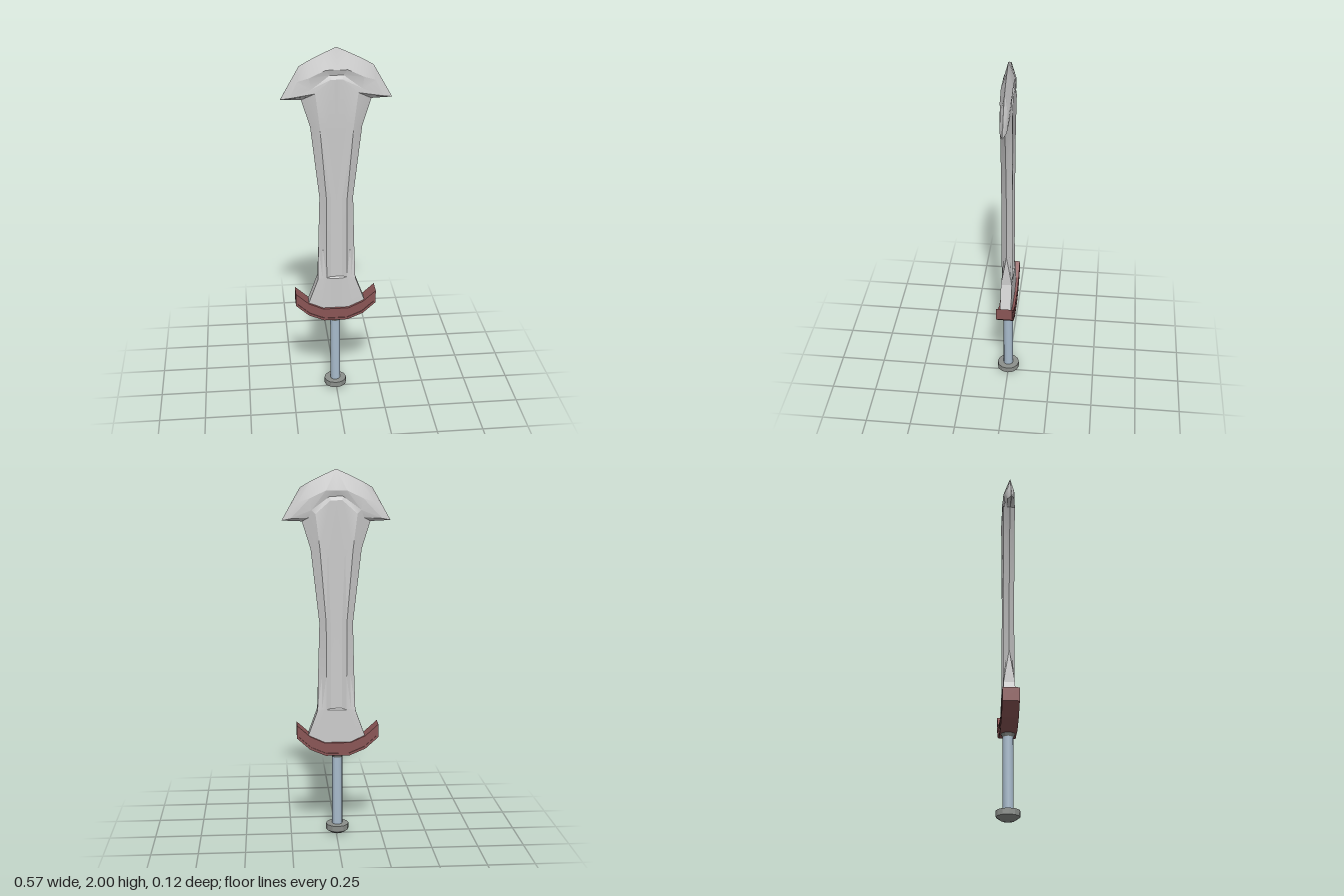
import * as THREE from 'three';
import { toCreasedNormals } from 'three/addons/utils/BufferGeometryUtils.js';

const CX = -0.006; // hilt axis

function mesh(name, geometry, color, crease = 0.3) {
  const m = new THREE.Mesh(
    toCreasedNormals(geometry, crease),
    new THREE.MeshStandardMaterial({ color })
  );
  m.name = name;
  return m;
}

// Rows of half-section points: centre, fuller, ridge, bevel, edge, as [x, y, z]
function level(y, fx, rx, ex, zc, zr, ze) {
  return [[0, y, zc], [fx, y, zc], [rx, y, zr], [(rx + ex) / 2, y, (zr + ze) / 2], [ex, y, ze]];
}
const bladeRows = [
  [[0, 0.5, 0.03], [0.03, 0.5, 0.03], [0.085, 0.51, 0.03], [0.13, 0.53, 0.03], [0.162, 0.55, 0.03]],
  level(0.715, 0.03, 0.055, 0.102, 0.03, 0.03, 0.03),
  level(0.722, 0.03, 0.055, 0.102, 0.018, 0.03, 0.029),
  level(0.9, 0.03, 0.055, 0.098, 0.018, 0.03, 0),
  level(1.19, 0.03, 0.055, 0.09, 0.018, 0.03, 0),
  level(1.585, 0.045, 0.087, 0.135, 0.027, 0.03, 0),
  // head: shoulder, scoop, crown and cutting rim
  [[0, 1.84, 0.03], [0.03, 1.84, 0.03], [0.11, 1.77, 0.032], [0.145, 1.75, 0.016], [0.18, 1.73, 0]],
  [[0, 1.86, 0.02], [0.035, 1.86, 0.02], [0.13, 1.79, 0.026], [0.24, 1.745, 0.018], [0.286, 1.735, 0.002]],
  [[0, 1.89, 0.029], [0.055, 1.89, 0.03], [0.14, 1.85, 0.027], [0.2, 1.83, 0.018], [0.244, 1.81, 0]],
  [[0, 2, 0], [0.065, 1.971, 0], [0.125, 1.942, 0], [0.16, 1.923, 0], [0.19, 1.905, 0]],
];

// Each half-section is mirrored into a closed ring; rings are skinned together
function bladeGeometry() {
  const rings = bladeRows.map((row) => {
    const left = row.slice(1).reverse().map(([x, y, z]) => [-x, y, z]);
    const front = [...left, ...row];
    const back = [...front].reverse().map(([x, y, z]) => [x, y, -z]);
    return [...front, ...back].map((p) => new THREE.Vector3(...p));
  });
  const pos = [];
  const tri = (a, b, c) => {
    if (new THREE.Triangle(a, b, c).getArea() < 1e-8) return;
    for (const p of [a, b, c]) pos.push(p.x, p.y, p.z);
  };
  for (let i = 0; i < rings.length - 1; i++) {
    const lo = rings[i], hi = rings[i + 1], n = lo.length;
    for (let j = 0; j < n; j++) {
      const k = (j + 1) % n;
      // diagonals mirror about x = 0
      if (lo[j].x + lo[k].x > 0) {
        tri(lo[j], lo[k], hi[k]);
        tri(lo[j], hi[k], hi[j]);
      } else {
        tri(lo[j], lo[k], hi[j]);
        tri(lo[k], hi[k], hi[j]);
      }
    }
  }
  const g = new THREE.BufferGeometry();
  g.setAttribute('position', new THREE.Float32BufferAttribute(pos, 3));
  return g;
}

// Closed outline from right-half points, mirrored
function mirrored(points) {
  const left = [...points].reverse().map(([x, y]) => [-x, y]);
  return [...points, ...left].map(([x, y]) => new THREE.Vector2(x, y));
}
function extrude(shape, halfDepth) {
  const g = new THREE.ExtrudeGeometry(shape, { depth: halfDepth * 2, bevelEnabled: false });
  return g.translate(CX, 0, -halfDepth);
}

function createGuard() {
  const outer = mirrored([[0.065, 0.462], [0.15, 0.498], [0.221, 0.562], [0.221, 0.635], [0.15, 0.571], [0.07, 0.534]]);
  const inner = mirrored([[0.062, 0.475], [0.144, 0.51], [0.209, 0.568], [0.209, 0.607], [0.154, 0.558], [0.072, 0.52]]);
  const frame = new THREE.Shape(outer);
  frame.holes.push(new THREE.Path(inner));
  const guard = new THREE.Group();
  guard.name = 'guard';
  guard.add(mesh('guardFrame', extrude(frame, 0.044), 0x8a5555));
  guard.add(mesh('guardPanel', extrude(new THREE.Shape(inner), 0.04), 0x8a5555));
  return guard;
}

function turned(name, profile, sides, color, crease) {
  const g = new THREE.LatheGeometry(profile.map((p) => new THREE.Vector2(...p)), sides);
  return mesh(name, g.translate(CX, 0, 0), color, crease);
}

export function createModel() {
  const group = new THREE.Group();
  group.name = 'sword';
  group.add(mesh('blade', bladeGeometry(), 0xcccccc));
  group.add(createGuard());
  // Hilt
  group.add(turned('grip', [[0.028, 0.05], [0.028, 0.47]], 12, 0xa9bccd, 0.7));
  group.add(turned('collar', [[0.028, 0.445], [0.038, 0.462], [0.038, 0.48]], 12, 0x8c908c, 0.4));
  group.add(turned('pommel', [[0, 0], [0.035, 0.008], [0.062, 0.026], [0.062, 0.058], [0, 0.06]], 12, 0x8c908c, 0.4));
  return group;
}
